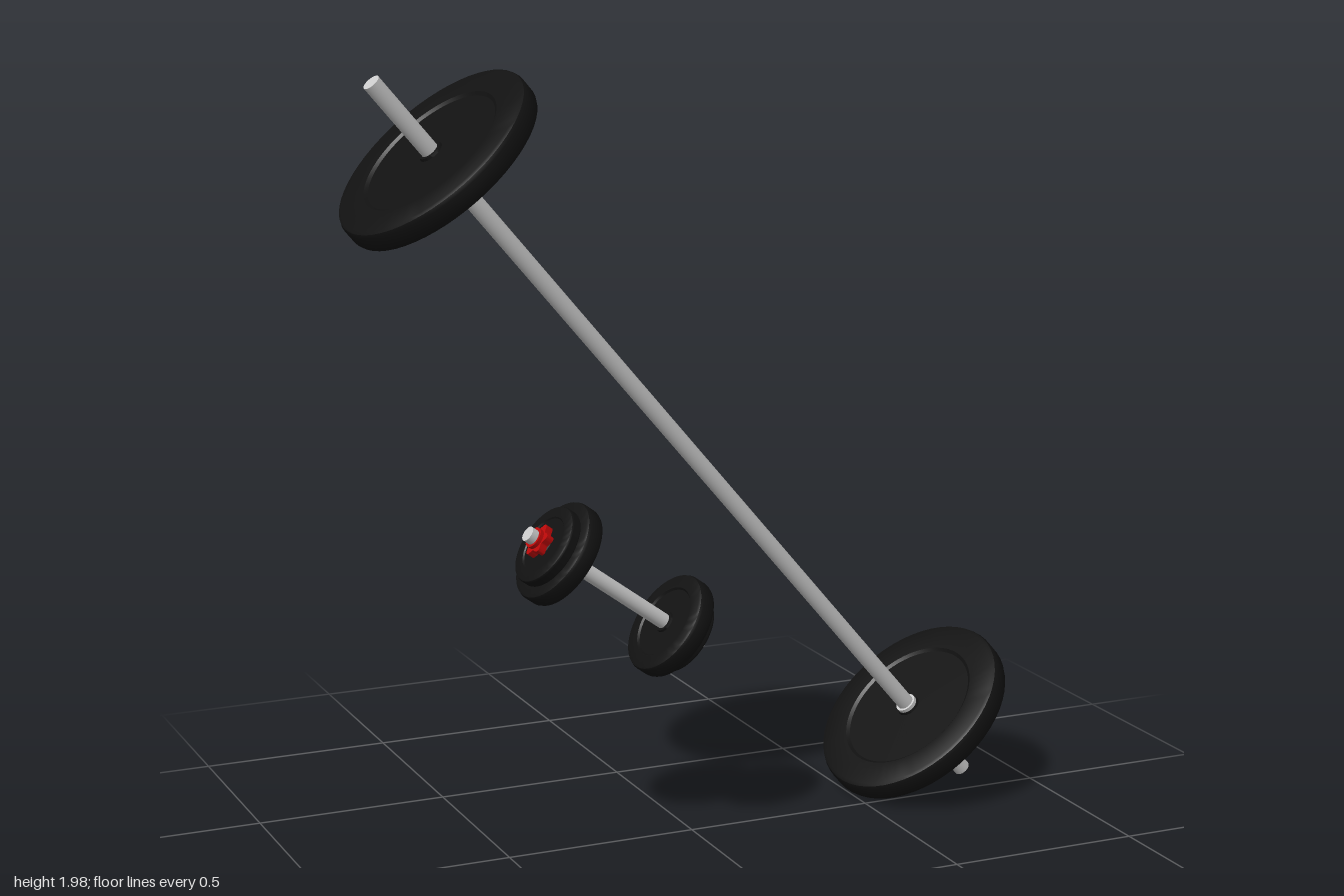
import * as THREE from 'three';
import { toCreasedNormals } from 'three/addons/utils/BufferGeometryUtils.js';

const steel = new THREE.MeshStandardMaterial({ color: 0xcccccc });
const rubber = new THREE.MeshStandardMaterial({ color: 0x111111 });
const red = new THREE.MeshStandardMaterial({ color: 0xbb0808 });

function add(parent, name, geometry, material, y = 0) {
  const mesh = new THREE.Mesh(geometry, material);
  mesh.name = name;
  mesh.position.y = y;
  parent.add(mesh);
  return mesh;
}

// Weight plate with rounded rim, recessed web and raised hub; lies along y
function plateGeometry(radius, thickness, bore) {
  const h = thickness / 2, b = thickness * 0.2, web = h * 0.8;
  const upper = [
    [bore, h], [bore * 1.4, h], [bore * 1.5, web],
    [radius * 0.68, web], [radius * 0.71, h],
    [radius - b, h], [radius - b * 0.3, h - b * 0.3], [radius, h - b],
  ];
  const lower = upper.map(([r, y]) => [r, -y]).reverse();
  // run from bottom to top so the faces point outward
  const points = [...lower.reverse(), ...upper.reverse()];
  const profile = [...points, points[0]].map(([r, y]) => new THREE.Vector2(r, y));
  return toCreasedNormals(new THREE.LatheGeometry(profile, 56), 0.6);
}

// Star-shaped spin nut with six lobes; lies along y
function starNutGeometry(radius, depth) {
  const shape = new THREE.Shape();
  const n = 72;
  for (let i = 0; i < n; i++) {
    const a = (i / n) * Math.PI * 2;
    const r = radius * (0.86 + 0.14 * Math.cos(6 * a));
    if (i === 0) shape.moveTo(r, 0);
    else shape.lineTo(r * Math.cos(a), r * Math.sin(a));
  }
  const g = new THREE.ExtrudeGeometry(shape, { depth, bevelEnabled: false });
  g.translate(0, 0, -depth / 2);
  g.rotateX(-Math.PI / 2);
  return toCreasedNormals(g, 0.6);
}

// Places a group built along y at a centre, pointing along a direction
function aim(group, centre, direction) {
  group.position.set(...centre);
  group.quaternion.setFromUnitVectors(
    new THREE.Vector3(0, 1, 0), new THREE.Vector3(...direction).normalize());
  return group;
}

function createBarbell() {
  const barbell = new THREE.Group();
  barbell.name = 'barbell';
  add(barbell, 'bar', new THREE.CylinderGeometry(0.022, 0.022, 2.6, 32), steel);
  for (const s of [-1, 1]) {
    add(barbell, 'barbellPlate', plateGeometry(0.272, 0.06, 0.021), rubber, s * 1.05);
    // stop ring on the inner face
    add(barbell, 'stopRing', new THREE.CylinderGeometry(0.028, 0.028, 0.012, 32), steel, s * 1.016);
  }
  return barbell;
}

function createDumbbell() {
  const dumbbell = new THREE.Group();
  dumbbell.name = 'dumbbell';
  add(dumbbell, 'handle', new THREE.CylinderGeometry(0.02, 0.02, 0.59, 32), steel);
  for (const s of [-1, 1]) {
    add(dumbbell, 'largePlate', plateGeometry(0.136, 0.05, 0.019), rubber, s * 0.191);
    add(dumbbell, 'smallPlate', plateGeometry(0.106, 0.032, 0.019), rubber, s * 0.228);
    add(dumbbell, 'starNut', starNutGeometry(0.043, 0.02), red, s * 0.256);
    add(dumbbell, 'nutCollar', new THREE.CylinderGeometry(0.027, 0.027, 0.012, 24), red, s * 0.27);
  }
  return dumbbell;
}

export function createModel() {
  const model = new THREE.Group();
  model.name = 'weights';
  model.add(aim(createBarbell(), [0, 1, 0], [-1.72, 1.965, 0.23]));
  model.add(aim(createDumbbell(), [-0.2125, 0.675, 0.01], [-0.315, 0.23, 0.02]));
  return model;
}
